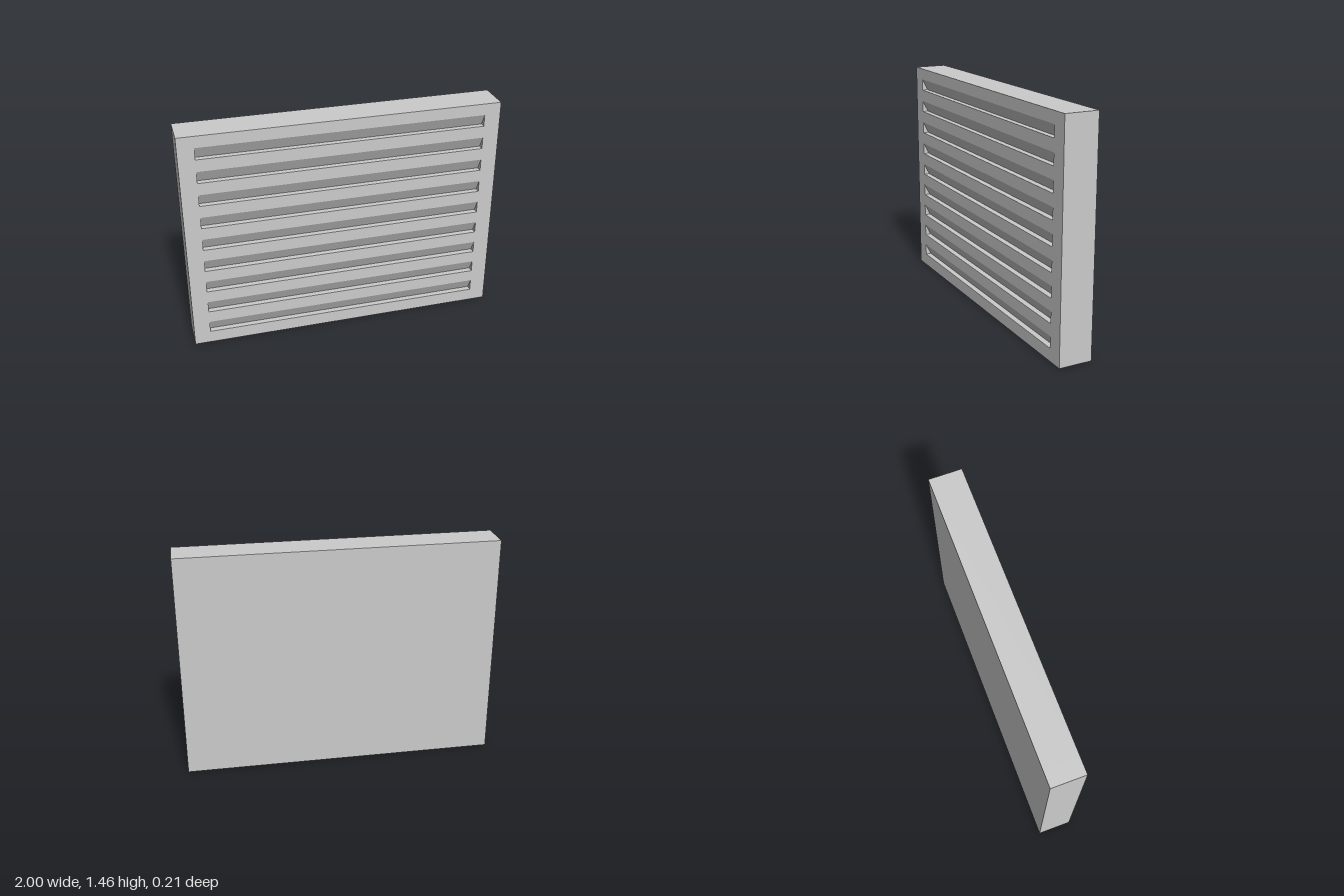
import * as THREE from 'three';

const WIDTH = 2, HEIGHT = 1.455, DEPTH = 0.214;
const SLOTS = 9, FIRST = 0.082, PITCH = 0.153;
const SLOT_HALF = 0.897, SLOT_HEIGHT = 0.075, SLOT_DEPTH = 0.037;

export function createModel() {
  const group = new THREE.Group();
  group.name = 'ventPanel';
  const material = new THREE.MeshStandardMaterial({ color: 0xcccccc, flatShading: true });
  const add = (name, geometry) => {
    const mesh = new THREE.Mesh(geometry, material);
    mesh.name = name;
    group.add(mesh);
    return mesh;
  };

  // Louvred middle: side profile with a flat-floored, sloping notch per slot
  const front = DEPTH / 2;
  const profile = new THREE.Shape();
  profile.moveTo(-front, 0);
  profile.lineTo(front, 0);
  for (let i = 0; i < SLOTS; i++) {
    const y = FIRST + i * PITCH;
    profile.lineTo(front, y);
    profile.lineTo(front - SLOT_DEPTH, y);
    profile.lineTo(front, y + SLOT_HEIGHT);
  }
  profile.lineTo(front, HEIGHT);
  profile.lineTo(-front, HEIGHT);
  profile.closePath();
  const louvres = new THREE.ExtrudeGeometry(profile, { depth: 2 * SLOT_HALF, bevelEnabled: false });
  louvres.translate(0, 0, -SLOT_HALF);
  louvres.rotateY(-Math.PI / 2);
  add('louvredPanel', louvres);

  // Solid borders closing the slot ends
  const border = WIDTH / 2 - SLOT_HALF;
  for (const [name, side] of [['leftBorder', 1], ['rightBorder', -1]]) {
    add(name, new THREE.BoxGeometry(border, HEIGHT, DEPTH))
      .position.set(side * (SLOT_HALF + border / 2), HEIGHT / 2, 0);
  }
  return group;
}
